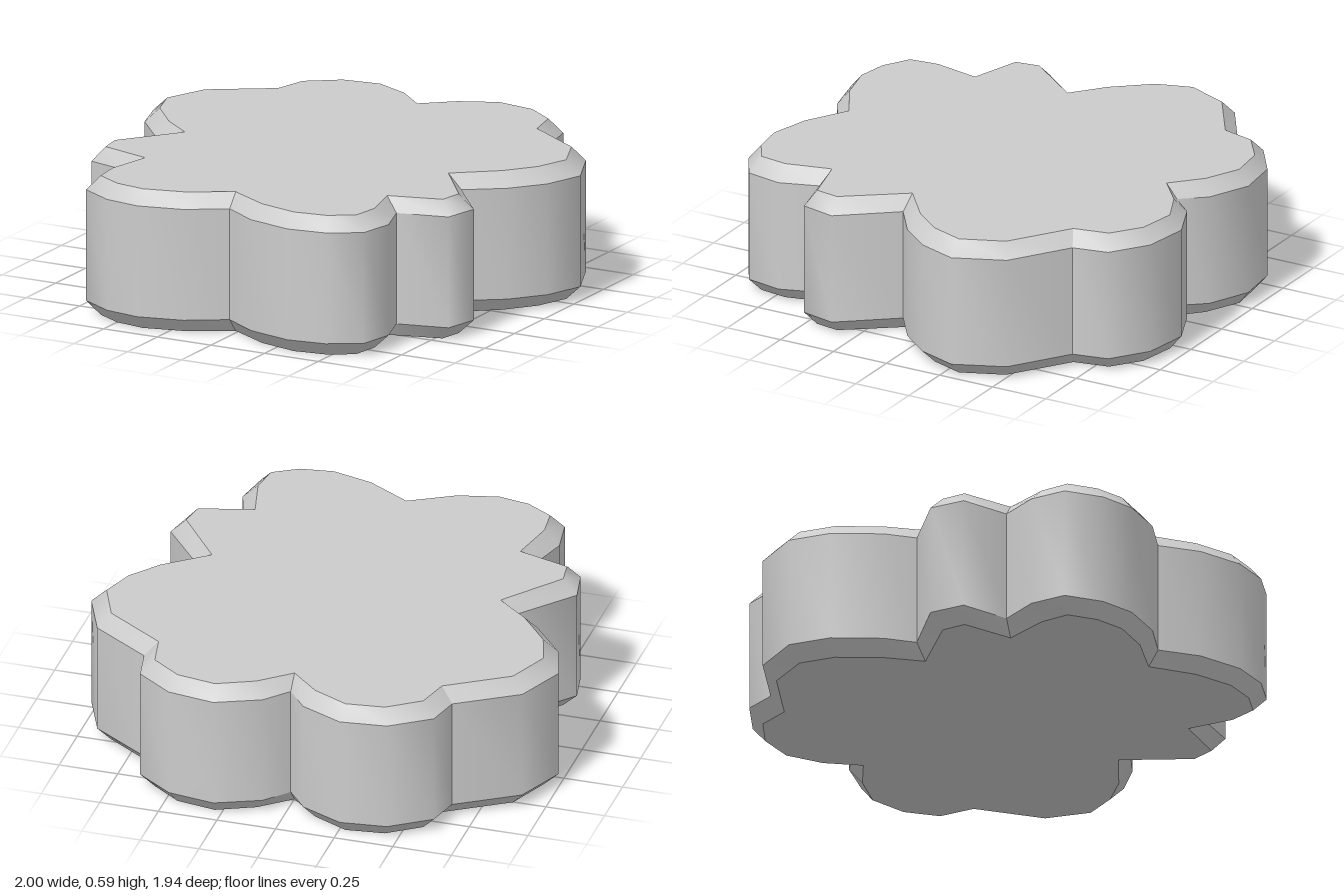
import * as THREE from 'three';
import { mergeGeometries } from 'three/addons/utils/BufferGeometryUtils.js';

// Outer outline of the lobed slab as x, z pairs, from the back notch round by +x
const OUTLINE = [
  [0, -.79], [.09, -.89], [.275, -.97], [.475, -.94], [.63, -.83],
  [.66, -.68], [.91, -.515], [1, -.305], [.94, -.135], [.83, 0],
  [.675, .11], [.86, .34], [.825, .49],
  [.61, .54], [.665, .705], [.635, .86], [.5, .94], [.335, .963], [.14, .915],
  [-.015, .815], [-.175, .915], [-.365, .96], [-.52, .935], [-.665, .85], [-.69, .695],
  [-.64, .525], [-.85, .47], [-.88, .32],
  [-.69, .095], [-.805, .015], [-.945, -.15], [-1, -.325], [-.91, -.535],
  [-.66, -.695], [-.625, -.835], [-.46, -.95], [-.265, -.973], [-.085, -.893],
].map(([x, z]) => new THREE.Vector2(x, z));

const HEIGHT = 0.59, BEVEL = 0.06, INSET_X = 0.065, INSET_Z = 0.05;
const N = OUTLINE.length;
const edge = i => OUTLINE[(i + 1) % N].clone().sub(OUTLINE[(i + N) % N]).normalize();

// Inset outline: each point moves inward along its averaged normal
const INSET = OUTLINE.map((p, i) => {
  const t = edge(i - 1).add(edge(i)).normalize();
  return new THREE.Vector2(p.x - t.y * INSET_X, p.y + t.x * INSET_Z);
});

// Concave corners separate the lobes
const notches = OUTLINE.map((p, i) => i).filter(i => edge(i - 1).cross(edge(i)) < 0);

// One band between two outlines: smooth along each lobe, sharp at the notches
function band(lower, y0, upper, y1) {
  const lobes = notches.map((start, k) => {
    const end = k + 1 < notches.length ? notches[k + 1] : notches[0] + N;
    const pos = [], index = [];
    for (let i = start; i <= end; i++) {
      const a = lower[i % N], b = upper[i % N];
      pos.push(a.x, y0, a.y, b.x, y1, b.y);
      if (i < end) {
        const v = (i - start) * 2;
        index.push(v, v + 1, v + 3, v, v + 3, v + 2);
      }
    }
    const g = new THREE.BufferGeometry();
    g.setAttribute('position', new THREE.Float32BufferAttribute(pos, 3));
    g.setIndex(index);
    g.computeVertexNormals();
    return g;
  });
  return mergeGeometries(lobes);
}

// Flat cap on the inset outline, facing up (1) or down (-1)
function cap(y, facing) {
  const shape = new THREE.Shape(INSET.map(p => new THREE.Vector2(p.x, -facing * p.y)));
  return new THREE.ShapeGeometry(shape).rotateX(-facing * Math.PI / 2).translate(0, y, 0);
}

export function createModel() {
  const group = new THREE.Group();
  group.name = 'lobedSlab';
  const material = new THREE.MeshStandardMaterial({ color: 0xcccccc });
  const add = (name, geometry) => {
    const mesh = new THREE.Mesh(geometry, material);
    mesh.name = name;
    group.add(mesh);
  };
  add('bottomFace', cap(0, -1));
  add('bottomBevel', band(INSET, 0, OUTLINE, BEVEL));
  add('sideWall', band(OUTLINE, BEVEL, OUTLINE, HEIGHT - BEVEL));
  add('topBevel', band(OUTLINE, HEIGHT - BEVEL, INSET, HEIGHT));
  add('topFace', cap(HEIGHT, 1));
  return group;
}
